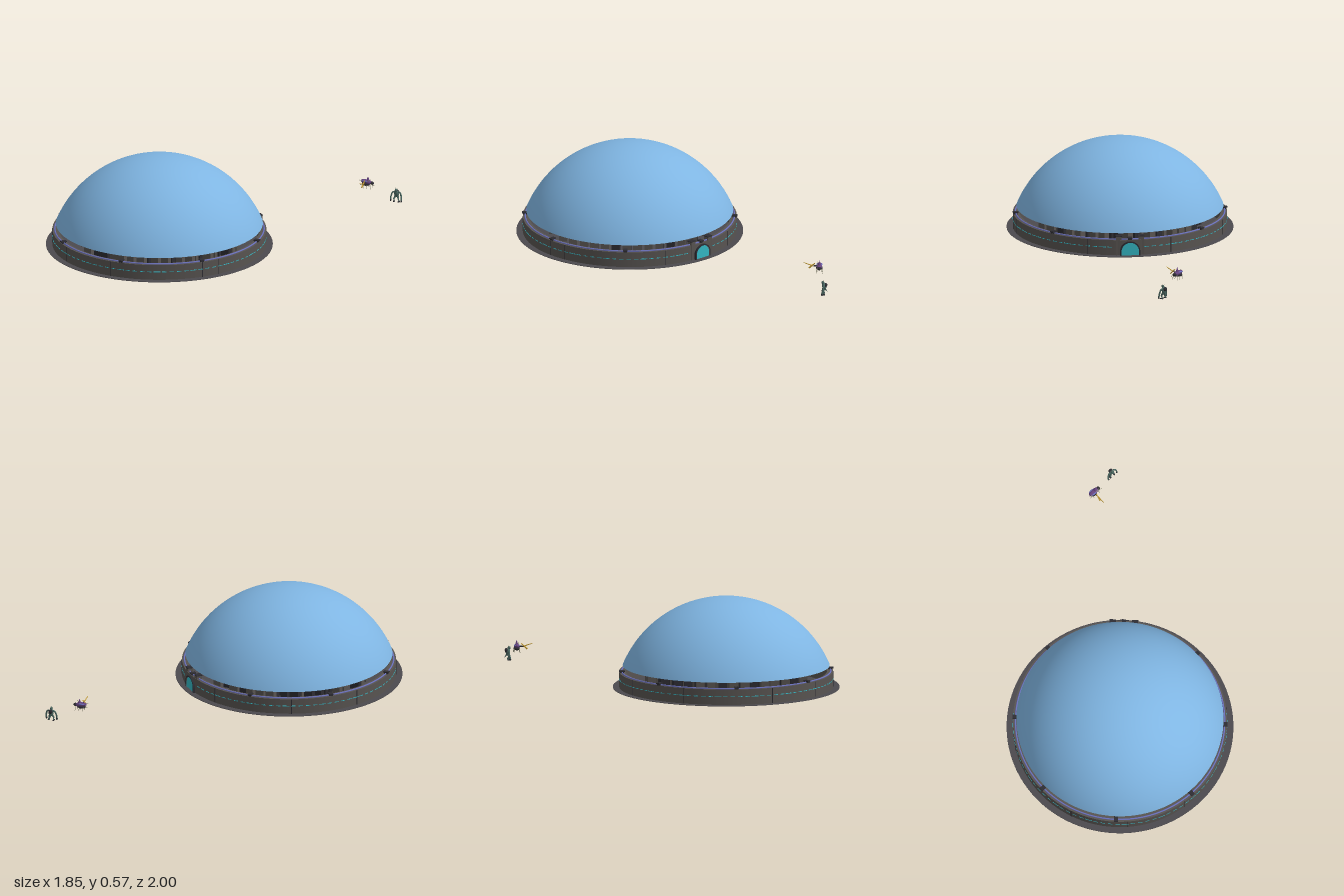
import * as THREE from 'three';

const mat = (name, color, side = THREE.FrontSide) => {
  const m = new THREE.MeshStandardMaterial({ color, side });
  m.name = name;
  return m;
};
const M = {
  glass: mat('dome blue', 0x7fb5e2, THREE.DoubleSide),
  wall: mat('wall grey', 0x585451),
  ground: mat('ground grey', 0x4c4a4e),
  dark: mat('dark metal', 0x2e2d33),
  cyan: mat('light cyan', 0x35b8c4, THREE.DoubleSide),
  violet: mat('rail violet', 0x6e74c0),
  purple: mat('shell purple', 0x67457f),
  yellow: mat('yellow', 0xc9a035),
  green: mat('hide green', 0x4d6a64),
  bone: mat('pale bone', 0xa5a28c),
};

function add(parent, name, geo, material, pos = [0, 0, 0], rot = [0, 0, 0], scale = [1, 1, 1]) {
  const mesh = new THREE.Mesh(geo, material);
  mesh.name = name;
  mesh.position.set(...pos);
  mesh.rotation.set(...rot);
  mesh.scale.set(...scale);
  parent.add(mesh);
  return mesh;
}
function group(parent, name, pos = [0, 0, 0], ry = 0) {
  const g = new THREE.Group();
  g.name = name;
  g.position.set(...pos);
  g.rotation.y = ry;
  parent.add(g);
  return g;
}
const box = (w, h, d) => new THREE.BoxGeometry(w, h, d);
const ball = new THREE.SphereGeometry(1, 14, 10);
const deg = Math.PI / 180;
// Tapered rod between two points
function rod(parent, name, a, b, r0, r1, material) {
  const A = new THREE.Vector3(...a), B = new THREE.Vector3(...b);
  const m = add(parent, name, new THREE.CylinderGeometry(r1, r0, A.distanceTo(B), 6), material);
  m.position.copy(A).add(B).multiplyScalar(0.5);
  m.quaternion.setFromUnitVectors(new THREE.Vector3(0, 1, 0), B.sub(A).normalize());
}

const WALL_R = 0.67, WALL_H = 0.1;

function buildWall(city) {
  add(city, 'groundDisc', new THREE.CylinderGeometry(0.71, 0.71, 0.003, 96), M.ground, [0, 0.0015, 0]);
  // Closed ring profile: outer face, top, inner face
  const profile = [[WALL_R, 0], [WALL_R, WALL_H], [WALL_R, WALL_H], [0.63, WALL_H], [0.63, WALL_H], [0.63, 0]];
  add(city, 'ringWall', new THREE.LatheGeometry(profile.map(p => new THREE.Vector2(...p)), 96), M.wall);
  add(city, 'rail', new THREE.TorusGeometry(0.655, 0.005, 6, 96), M.violet, [0, 0.103, 0], [Math.PI / 2, 0, 0]);

  // Dashed light line, broken at the gate
  for (let a = 0; a < 360; a += 4) {
    if (Math.abs(a - 135) < 8) continue;
    const g = group(city, 'lightDash', [0, 0, 0], a * deg);
    add(g, 'dash', box(a % 20 ? 0.028 : 0.045, 0.004, 0.003), M.cyan, [0, 0.055, WALL_R]);
  }
  // Wall seams
  for (const a of [-39, -5.6, 45, 55, 112, 158, 203, 241, 290]) {
    const g = group(city, 'wallSeam', [0, 0, 0], a * deg);
    add(g, 'seam', box(0.004, WALL_H, 0.003), M.dark, [0, WALL_H / 2, WALL_R]);
  }
  // Eight lookout posts on the rim
  for (let i = 0; i < 8; i++) {
    const g = group(city, 'rimPost', [0, 0, 0], i * Math.PI / 4);
    add(g, 'postFoot', box(0.022, 0.012, 0.024), M.dark, [0, 0.104, 0.656]);
    add(g, 'postHead', box(0.026, 0.007, 0.036), M.dark, [0, 0.112, 0.656]);
  }
}

function buildDome(city) {
  const R = 0.703;
  add(city, 'dome', new THREE.SphereGeometry(R, 80, 32, 0, Math.PI * 2, 0, Math.asin(0.648 / R)), M.glass, [0, -0.133, 0]);
}

function buildGate(city) {
  const gate = group(city, 'gate', [0, 0, 0], 135 * deg);
  const arch = (w, s) => {
    const p = s;
    p.moveTo(-w, 0.003);
    p.lineTo(-w, 0.03);
    p.absarc(0, 0.03, w, Math.PI, 0, true);
    p.lineTo(w, 0.003);
    p.closePath();
    return p;
  };
  const frame = arch(0.063, new THREE.Shape());
  frame.holes.push(arch(0.055, new THREE.Path()));
  add(gate, 'gateFrame', new THREE.ExtrudeGeometry(frame, { depth: 0.02, bevelEnabled: false, curveSegments: 20 }), M.dark, [0, 0, 0.66]);
  add(gate, 'gateGlow', new THREE.ShapeGeometry(arch(0.055, new THREE.Shape()), 20), M.cyan, [0, 0, 0.674]);
  for (const s of [-1, 1]) {
    add(gate, 'gateTower', box(0.035, 0.123, 0.035), M.wall, [s * 0.07, 0.0615, 0.648]);
    add(gate, 'gateTowerCap', box(0.039, 0.005, 0.039), M.dark, [s * 0.07, 0.124, 0.648]);
  }
}

function buildTowers(city) {
  // Street grid of blocks below the dome
  let seed = 7;
  const rand = () => (seed = (seed * 16807) % 2147483647) / 2147483647;
  const accents = [M.cyan, M.yellow, M.violet];
  for (let i = -7; i <= 7; i++) {
    for (let k = -7; k <= 7; k++) {
      const x = i * 0.068, z = k * 0.068, r = Math.hypot(x, z);
      if (r > 0.49) continue;
      const h = 0.145 + rand() * (0.16 - r * 0.2), w = 0.04 + rand() * 0.016;
      add(city, 'towerBlock', box(w, h, 0.05), rand() < 0.35 ? M.dark : M.wall, [x, h / 2, z]);
      if (r > 0.36 && rand() < 0.3) {
        const band = accents[Math.floor(rand() * 3)];
        add(city, 'towerBand', box(w + 0.004, 0.007, 0.054), band, [x, 0.132, z]);
      }
    }
  }
}

// Hovering insect-like craft with a forward lance
function buildFlyer(root) {
  const f = group(root, 'flyer', [0.7, 0.115, -0.94]);
  add(f, 'flyerBody', ball, M.purple, [0, 0.005, 0], [0, 0, -0.15], [0.04, 0.014, 0.018]);
  add(f, 'flyerHead', ball, M.dark, [0.034, 0, 0], [0, 0, 0], [0.014, 0.011, 0.012]);
  add(f, 'flyerBelly', ball, M.dark, [-0.005, -0.008, 0], [0, 0, 0], [0.028, 0.012, 0.021]);
  add(f, 'flyerFin', new THREE.ConeGeometry(0.011, 0.032, 6), M.purple, [0.008, 0.028, 0]);
  rod(f, 'crossSpar', [-0.045, 0.016, 0.012], [0.055, -0.01, 0.012], 0.002, 0.002, M.bone);
  rod(f, 'crossSpar', [-0.04, -0.016, 0.012], [0.03, 0.026, 0.012], 0.002, 0.002, M.bone);
  for (const s of [-1, 1]) {
    for (let i = 0; i < 3; i++) {
      const x = -0.022 + i * 0.024;
      rod(f, 'flyerLeg', [x, -0.006, s * 0.014], [x + 0.006, -0.036, s * 0.02], 0.0025, 0.001, M.bone);
    }
    add(f, 'flyerStripe', ball, M.violet, [-0.01, 0.012, s * 0.013], [0, 0, 0], [0.02, 0.004, 0.006]);
  }
  rod(f, 'lanceArm', [-0.002, 0.005, 0.012], [-0.005, 0.004, 0.045], 0.004, 0.003, M.dark);
  rod(f, 'lance', [-0.004, 0.022, 0.028], [-0.008, -0.012, 0.066], 0.003, 0.005, M.yellow);
  rod(f, 'lance', [-0.004, 0.004, 0.04], [-0.008, 0.024, 0.098], 0.004, 0.002, M.yellow);
}

// Hunched walker with long bowed arms
function buildWalker(root) {
  const c = group(root, 'walker', [0.885, 0, -0.978]);
  add(c, 'walkerTorso', ball, M.green, [0, 0.053, 0], [0.2, 0, 0], [0.016, 0.024, 0.013]);
  add(c, 'walkerHead', ball, M.green, [0, 0.078, 0.008], [0, 0, 0], [0.008, 0.01, 0.01]);
  add(c, 'walkerBack', ball, M.dark, [0, 0.062, -0.01], [0, 0, 0], [0.014, 0.014, 0.01]);
  for (const s of [-1, 1]) {
    rod(c, 'walkerHorn', [s * 0.004, 0.082, 0.006], [s * 0.008, 0.092, 0.002], 0.002, 0.0005, M.bone);
    const arm = new THREE.CatmullRomCurve3([[0.01, 0.066, 0], [0.024, 0.062, 0.002], [0.033, 0.042, 0.006], [0.036, 0.012, 0.012]]
      .map(([x, y, z]) => new THREE.Vector3(s * x, y, z)));
    add(c, 'walkerArm', new THREE.TubeGeometry(arm, 12, 0.005, 6), M.green);
    add(c, 'walkerHand', ball, M.dark, [s * 0.035, 0.011, 0.012], [0, 0, 0], [0.005, 0.009, 0.006]);
    rod(c, 'walkerThigh', [s * 0.008, 0.038, 0], [s * 0.015, 0.02, 0.008], 0.007, 0.005, M.green);
    rod(c, 'walkerShin', [s * 0.015, 0.02, 0.008], [s * 0.016, 0.004, -0.002], 0.005, 0.003, M.green);
    add(c, 'walkerFoot', box(0.009, 0.005, 0.018), M.dark, [s * 0.016, 0.0025, 0.004]);
  }
  rod(c, 'walkerTail', [0, 0.035, -0.008], [0, 0.018, -0.021], 0.005, 0.001, M.green);
}

export function createModel() {
  const root = new THREE.Group();
  root.name = 'domedCity';
  const city = group(root, 'city', [-0.215, 0, 0.287]);
  buildWall(city);
  buildDome(city);
  buildGate(city);
  buildTowers(city);
  buildFlyer(root);
  buildWalker(root);
  return root;
}
